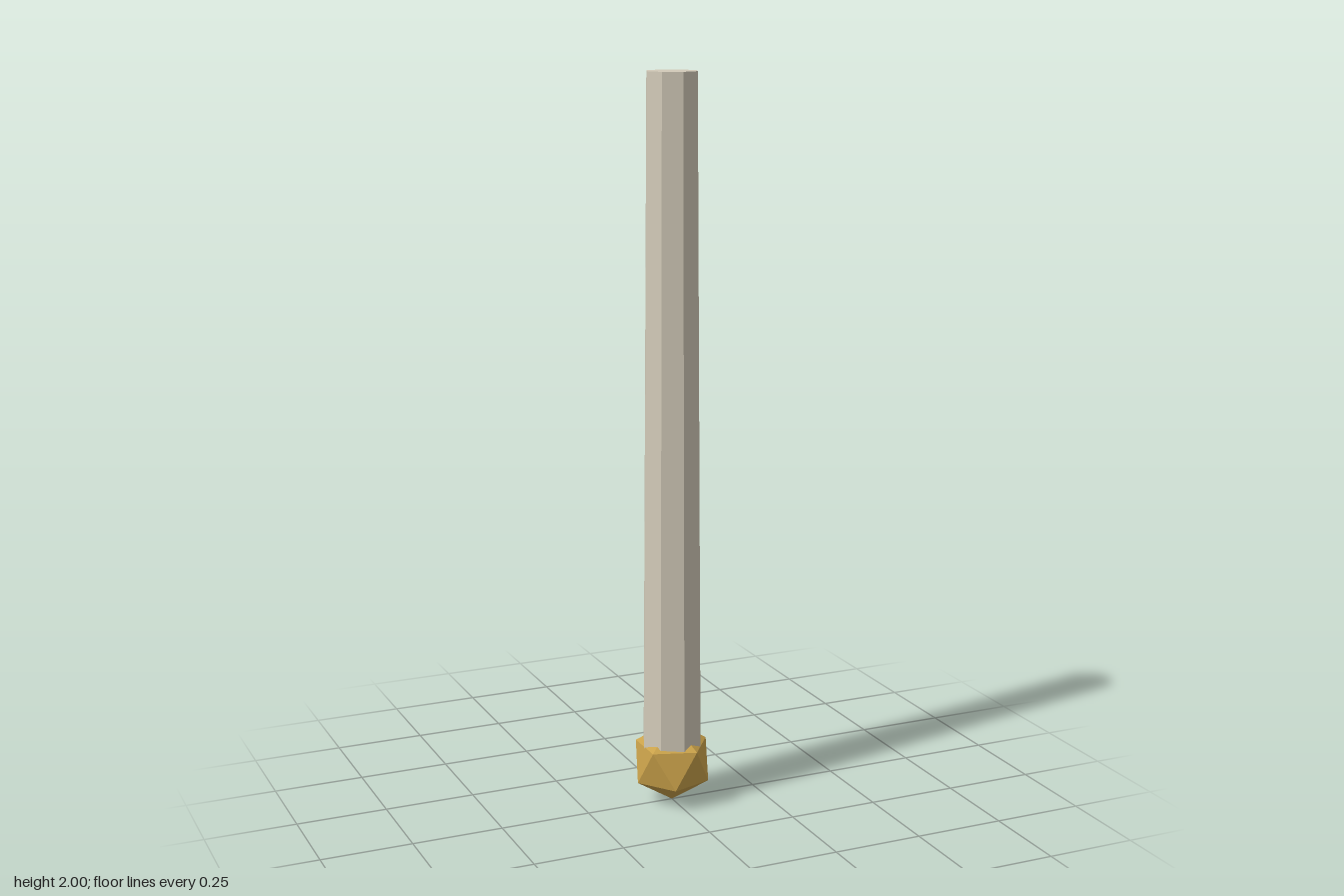
import * as THREE from 'three';
import { ConvexGeometry } from 'three/addons/geometries/ConvexGeometry.js';

const mat = (color) => new THREE.MeshStandardMaterial({ color, flatShading: true });

// Regular icosahedron standing on one corner, with an upper-ring corner on +x
function icosahedron(r) {
  const ring = r * 2 / Math.sqrt(5), h = r / Math.sqrt(5);
  const points = [new THREE.Vector3(0, r, 0), new THREE.Vector3(0, -r, 0)];
  for (let i = 0; i < 10; i++) {
    const a = i * Math.PI / 5;
    points.push(new THREE.Vector3(ring * Math.cos(a), i % 2 ? -h : h, ring * Math.sin(a)));
  }
  return new ConvexGeometry(points);
}

export function createModel() {
  const group = new THREE.Group();
  const R = 0.115;

  // Faceted gold tip
  const tip = new THREE.Mesh(icosahedron(R), mat(0xc9a14a));
  tip.name = 'tip';
  tip.position.y = R;
  group.add(tip);

  // Eight-sided shaft, slightly narrower at the top, rooted inside the tip
  const length = 2 - R;
  const shaft = new THREE.Mesh(new THREE.CylinderGeometry(0.071, 0.085, length, 8), mat(0xd2cab8));
  shaft.name = 'shaft';
  shaft.position.y = R + length / 2;
  group.add(shaft);

  return group;
}
